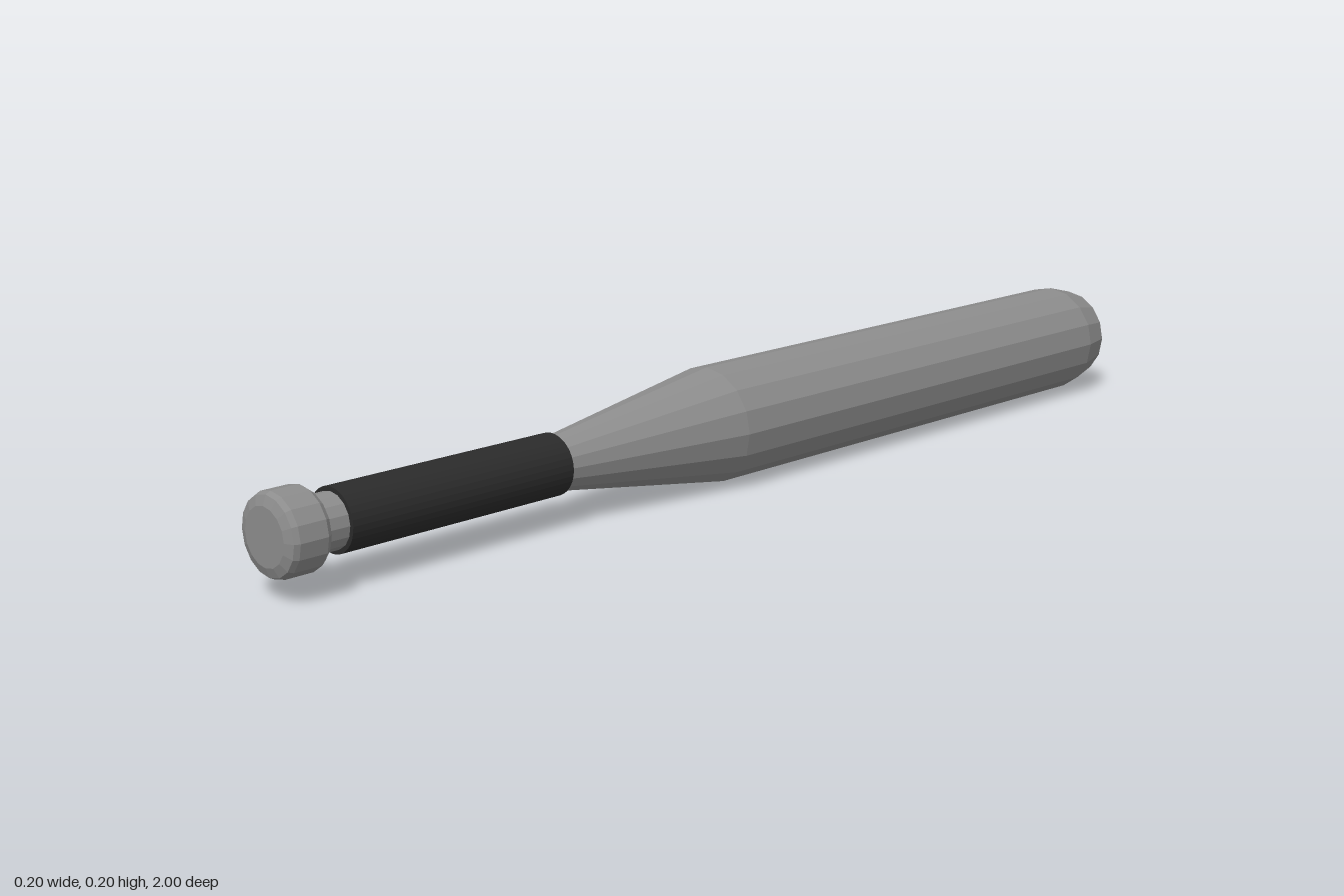
import * as THREE from 'three';

const metal = new THREE.MeshStandardMaterial({ color: 0x8c8c8c });
metal.name = 'grey metal';
const rubber = new THREE.MeshStandardMaterial({ color: 0x2b2b2b });
rubber.name = 'black grip';

// Faceted solid of revolution along z; profile is [radius, z] from back to front
function turned(name, profile, sides, material) {
  const points = profile.map(([r, z]) => new THREE.Vector2(r, z));
  const geometry = new THREE.LatheGeometry(points, sides).toNonIndexed();
  geometry.rotateX(Math.PI / 2);
  geometry.computeVertexNormals();
  const mesh = new THREE.Mesh(geometry, material);
  mesh.name = name;
  mesh.position.y = 0.101;
  return mesh;
}

export function createModel() {
  const bat = new THREE.Group();
  bat.name = 'bat';

  // Rounded end, straight barrel and taper down to the handle
  bat.add(turned('barrel', [
    [0, -1], [0.052, -1], [0.086, -0.981], [0.101, -0.92],
    [0.101, 0.08], [0.045, 0.44], [0.045, 0.5], [0, 0.5],
  ], 16, metal));

  // Wrapped handle
  bat.add(turned('grip', [
    [0, 0.44], [0.052, 0.44], [0.052, 0.88], [0, 0.88],
  ], 32, rubber));

  // Narrow neck and chamfered knob
  bat.add(turned('knob', [
    [0, 0.86], [0.045, 0.86], [0.045, 0.925], [0.06, 0.925], [0.067, 0.935],
    [0.067, 0.985], [0.063, 0.994], [0.047, 1], [0, 1],
  ], 16, metal));

  return bat;
}
